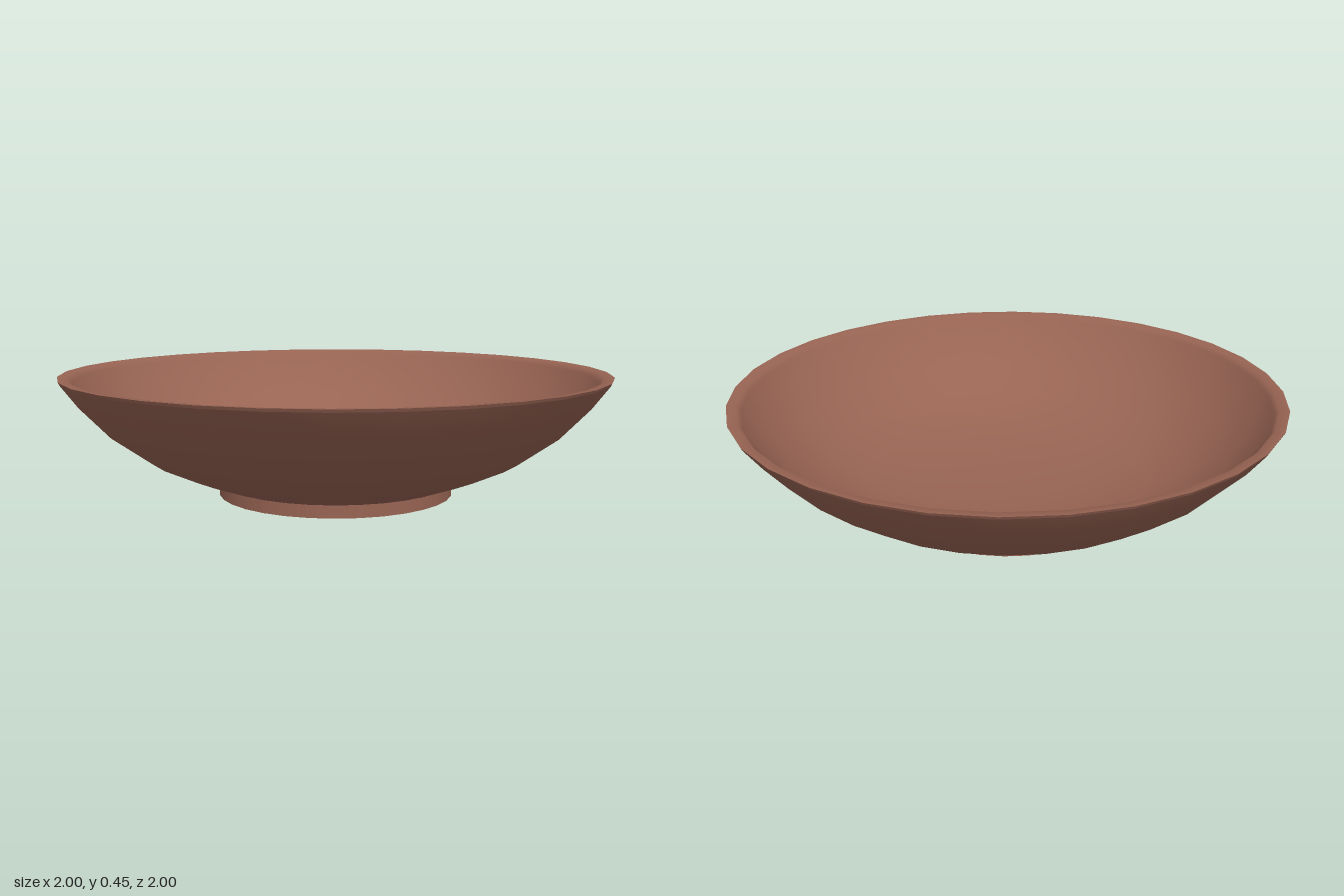
import * as THREE from 'three';

const SIDES = 32;

export function createModel() {
  const bowl = new THREE.Group();
  bowl.name = 'bowl';
  const clay = new THREE.MeshStandardMaterial({ color: 0x986453 });
  clay.name = 'brown clay';

  const add = (name, geometry) => {
    const mesh = new THREE.Mesh(geometry, clay);
    mesh.name = name;
    bowl.add(mesh);
    return mesh;
  };
  const turned = (name, profile) =>
    add(name, new THREE.LatheGeometry(profile.map(([r, y]) => new THREE.Vector2(r, y)), SIDES));

  // Outside wall, from the foot up to the lip
  turned('outerWall', [
    [0.42, 0.04], [0.57, 0.095], [0.69, 0.15], [0.83, 0.25], [0.935, 0.36], [0.995, 0.44],
  ]);

  // Narrow edge of the lip
  turned('lipEdge', [[0.995, 0.44], [1, 0.45]]);

  // Lip and hollow, running inwards and down to the centre
  turned('lipAndHollow', [
    [1, 0.45], [0.965, 0.447], [0.95, 0.43], [0.9, 0.36], [0.8, 0.265],
    [0.67, 0.18], [0.53, 0.125], [0.36, 0.09], [0.18, 0.073], [0, 0.07],
  ]);

  // Solid round foot
  const foot = add('foot', new THREE.CylinderGeometry(0.435, 0.435, 0.045, SIDES));
  foot.position.y = 0.0225;

  return bowl;
}
